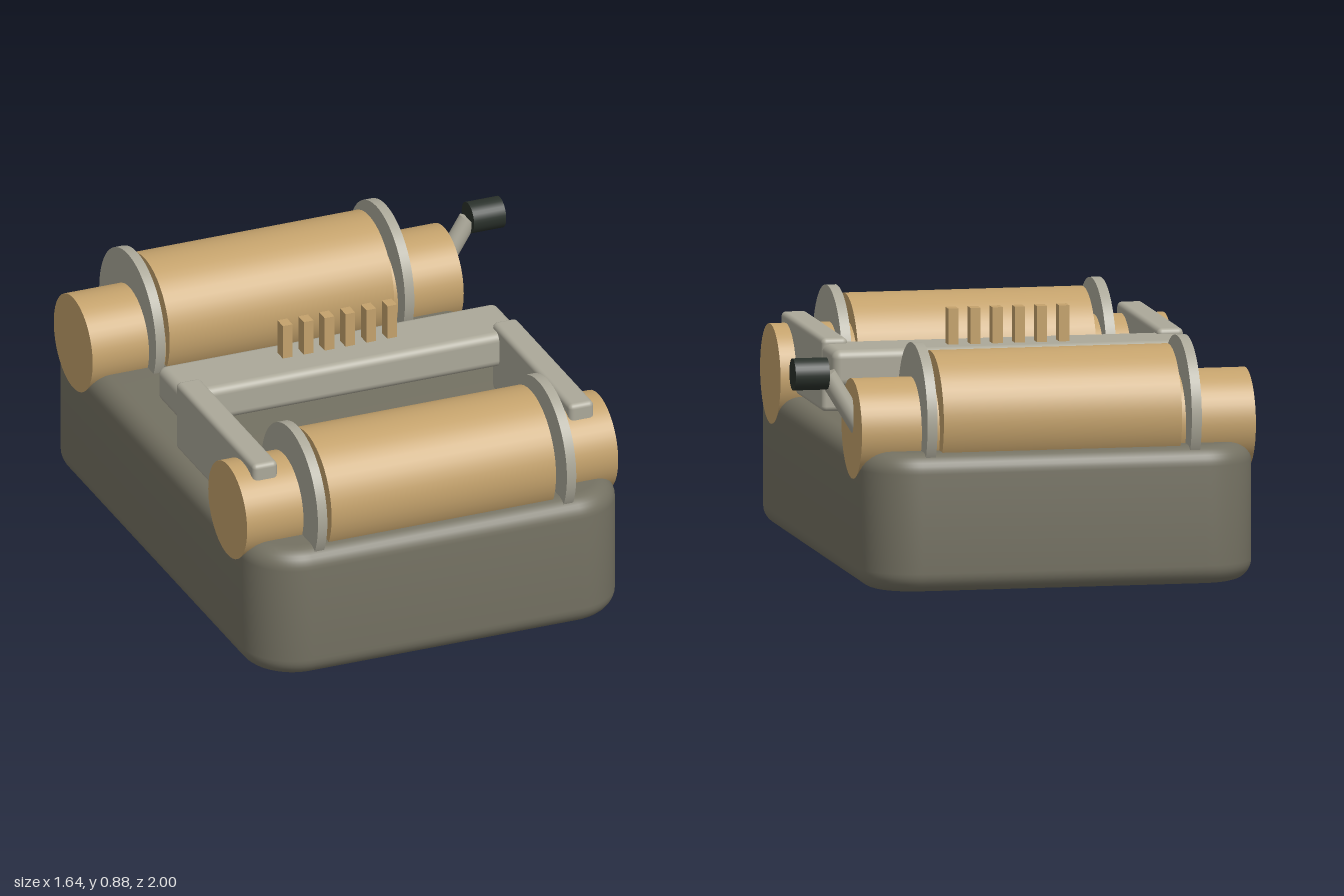
import * as THREE from 'three';
import { toCreasedNormals } from 'three/addons/utils/BufferGeometryUtils.js';
import { RoundedBoxGeometry } from 'three/addons/geometries/RoundedBoxGeometry.js';

const CX = -0.11; // middle of the body; the crank sticks out on the left side

export function createModel() {
  const model = new THREE.Group();
  model.name = 'rollerMachine';

  const material = (name, color) => {
    const m = new THREE.MeshStandardMaterial({ color });
    m.name = name;
    return m;
  };
  const darkBody = material('dark grey body', 0x747162);
  const metal = material('pale metal', 0xaba899);
  const wood = material('tan wood', 0xc4a26c);
  const black = material('black grip', 0x2a312b);

  const add = (parent, name, geometry, mat, x, y, z) => {
    const mesh = new THREE.Mesh(geometry, mat);
    mesh.name = name;
    mesh.position.set(x, y, z);
    parent.add(mesh);
    return mesh;
  };
  // Cylinder lying along x
  const rod = (r, length, sides = 48) =>
    new THREE.CylinderGeometry(r, r, length, sides).rotateZ(-Math.PI / 2);

  // Base: rounded plan with softened top and bottom edges
  const bevel = 0.07, hx = 0.71 - bevel, hz = 1 - bevel, r = 0.13;
  const plan = new THREE.Shape();
  plan.absarc(hx - r, hz - r, r, 0, Math.PI / 2);
  plan.absarc(-hx + r, hz - r, r, Math.PI / 2, Math.PI);
  plan.absarc(-hx + r, -hz + r, r, Math.PI, Math.PI * 1.5);
  plan.absarc(hx - r, -hz + r, r, Math.PI * 1.5, Math.PI * 2);
  const baseGeometry = new THREE.ExtrudeGeometry(plan, {
    depth: 0.495 - 2 * bevel, bevelSize: bevel, bevelThickness: bevel,
    bevelSegments: 8, curveSegments: 10,
  });
  baseGeometry.rotateX(-Math.PI / 2);
  add(model, 'base', toCreasedNormals(baseGeometry, 0.6), darkBody, CX, bevel, 0);

  // Rollers: a long core, a thicker drum and two flanges
  const addRoller = (name, coreZ, drumZ) => {
    const roller = new THREE.Group();
    roller.name = name;
    add(roller, 'rollerCore', rod(0.178, 1.422), wood, CX, 0.558, coreZ);
    add(roller, 'rollerDrum', rod(0.23, 0.86), wood, CX, 0.6, drumZ);
    for (const side of [-1, 1]) {
      add(roller, 'flange', rod(0.26, 0.036, 64), metal, CX + side * 0.477, 0.6, drumZ);
    }
    model.add(roller);
  };
  addRoller('frontRoller', 0.69, 0.74);
  addRoller('backRoller', -0.722, -0.74);

  // Carriage: crossbar held by two arms that reach over the front roller
  const carriage = new THREE.Group();
  carriage.name = 'carriage';
  model.add(carriage);
  add(carriage, 'crossbar', new RoundedBoxGeometry(1.3, 0.133, 0.25, 4, 0.03), metal, CX, 0.68, 0.02);
  for (const side of [-1, 1]) {
    add(carriage, 'arm', new RoundedBoxGeometry(0.095, 0.262, 0.715, 3, 0.018), metal,
      CX + side * 0.606, 0.635, 0.432);
  }
  for (let i = 0; i < 6; i++) {
    add(carriage, 'pin', new THREE.BoxGeometry(0.037, 0.16, 0.05), wood, -0.31 + i * 0.08, 0.795, -0.005);
  }

  // Crank on the back roller
  const crank = new THREE.Group();
  crank.name = 'crank';
  model.add(crank);
  const start = new THREE.Vector3(0.56, 0.54, -0.722);
  const end = new THREE.Vector3(0.692, 0.753, -0.722);
  const along = end.clone().sub(start);
  const middle = start.clone().add(end).multiplyScalar(0.5);
  const lever = add(crank, 'crankLever', new THREE.CylinderGeometry(0.034, 0.034, along.length(), 24),
    metal, middle.x, middle.y, middle.z);
  lever.quaternion.setFromUnitVectors(new THREE.Vector3(0, 1, 0), along.normalize());
  add(crank, 'crankGrip', rod(0.057, 0.123, 32), black, 0.753, 0.757, -0.722);

  return model;
}
